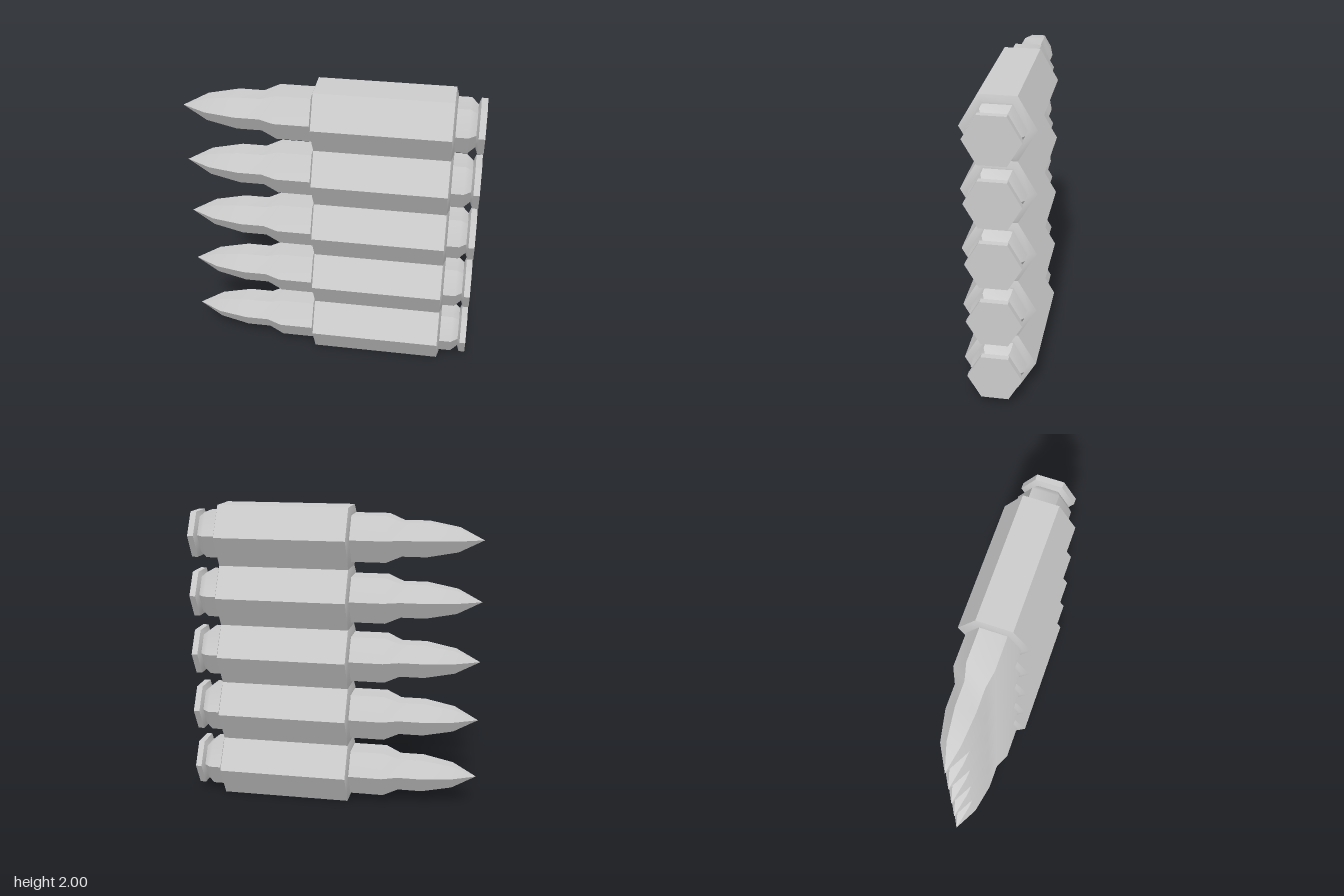
import * as THREE from 'three';
import { toCreasedNormals } from 'three/addons/utils/BufferGeometryUtils.js';

const COUNT = 5;
const PITCH = 0.4;

// Six-sided solid along x from [x, half height across flats] points
function hexLathe(profile) {
  const points = profile.map(([x, flat]) => new THREE.Vector2(flat / Math.cos(Math.PI / 6), x));
  const geometry = new THREE.LatheGeometry(points, 6);
  geometry.rotateZ(-Math.PI / 2);
  return toCreasedNormals(geometry, 0.75);
}

export function createModel() {
  const model = new THREE.Group();
  model.name = 'cartridgeBelt';
  const material = new THREE.MeshStandardMaterial({ color: 0xcccccc });

  // Pointed bullet, shoulder, case, extractor groove and rim
  const cartridgeGeometry = hexLathe([
    [-0.96, 0], [-0.8, 0.075], [-0.6, 0.11], [-0.44, 0.11], [-0.34, 0.15],
    [0.86, 0.15], [0.905, 0.115], [0.92, 0.15], [0.96, 0.15], [0.96, 0],
  ]);

  // Bevelled link sleeve around the case
  const sleeveGeometry = hexLathe([
    [-0.115, 0.15], [-0.115, 0.16], [-0.1, 0.2], [0.765, 0.2], [0.78, 0.16], [0.78, 0.15],
  ]);

  for (let i = 0; i < COUNT; i++) {
    const round = new THREE.Group();
    round.name = `round${i + 1}`;
    round.position.y = PITCH * (i + 0.5);

    const cartridge = new THREE.Mesh(cartridgeGeometry, material);
    cartridge.name = 'cartridge';
    const sleeve = new THREE.Mesh(sleeveGeometry, material);
    sleeve.name = 'linkSleeve';

    round.add(cartridge, sleeve);
    model.add(round);
  }
  return model;
}
